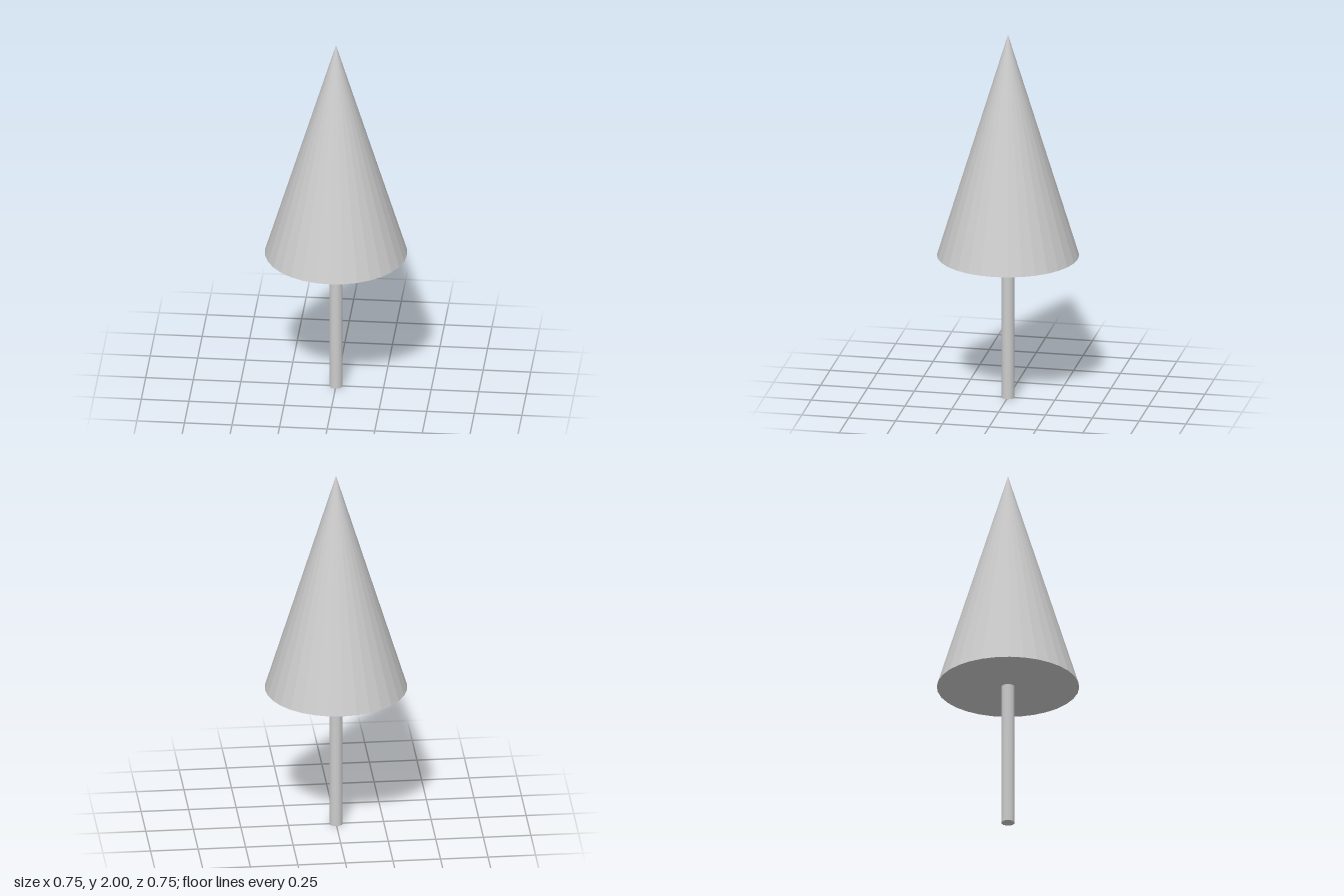
import * as THREE from 'three';

const SIDES = 32;
const TOTAL_HEIGHT = 2;
const TRUNK_HEIGHT = 0.785;

export function createModel() {
  const group = new THREE.Group();
  group.name = 'coneTree';
  const material = new THREE.MeshStandardMaterial({ color: 0xcccccc, flatShading: true });

  const add = (name, geometry, y) => {
    const mesh = new THREE.Mesh(geometry, material);
    mesh.name = name;
    mesh.position.y = y;
    group.add(mesh);
  };

  // Slim round trunk, standing on the ground
  add('trunk', new THREE.CylinderGeometry(0.035, 0.035, TRUNK_HEIGHT, SIDES), TRUNK_HEIGHT / 2);

  // Tall faceted cone of foliage with a closed base
  const foliageHeight = TOTAL_HEIGHT - TRUNK_HEIGHT;
  add('foliage', new THREE.ConeGeometry(0.373, foliageHeight, SIDES), TRUNK_HEIGHT + foliageHeight / 2);

  return group;
}
